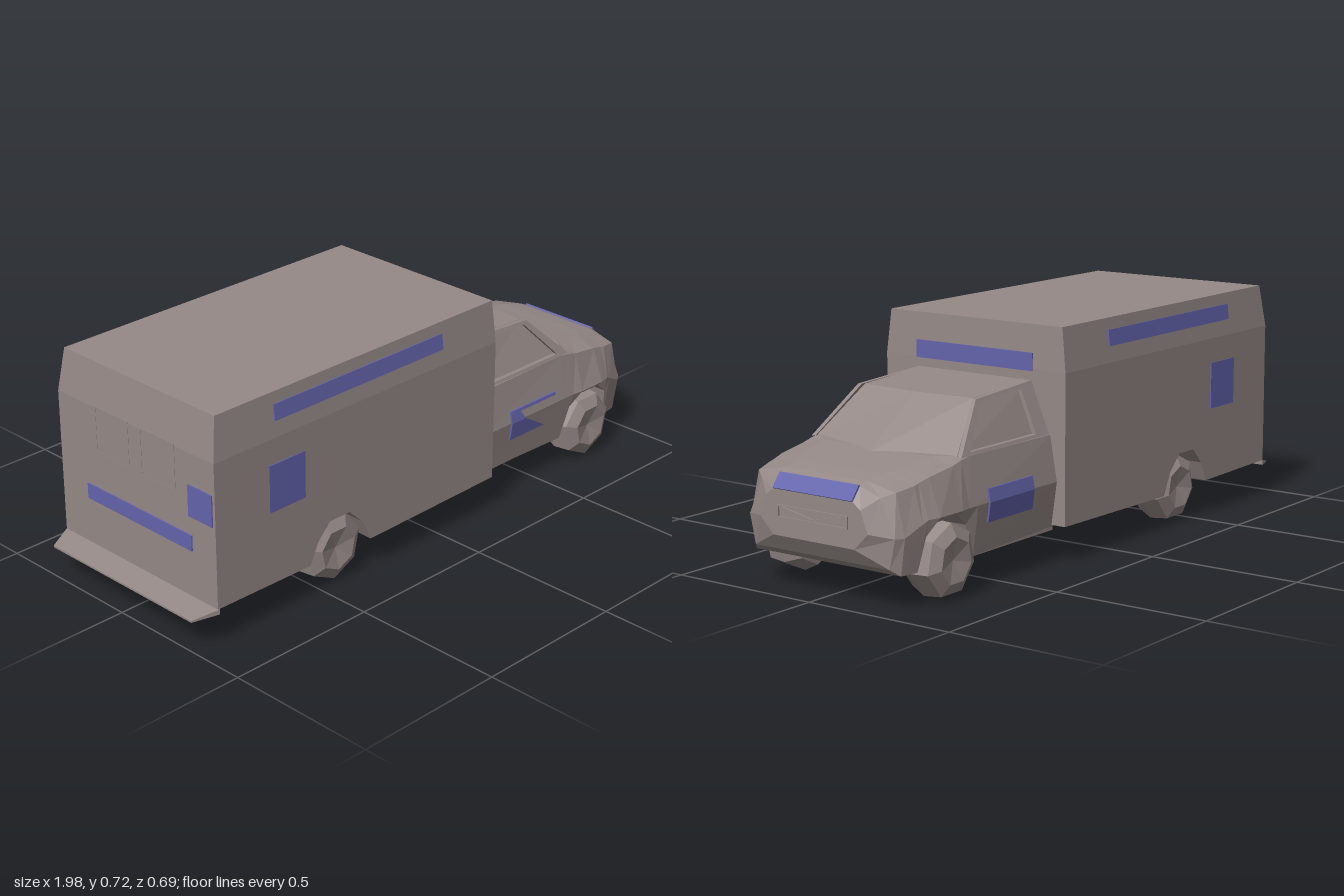
import * as THREE from 'three';

const paint = new THREE.MeshStandardMaterial({ color: 0x958987 });
paint.name = 'warm grey paint';
const blue = new THREE.MeshStandardMaterial({ color: 0x6464ac });
blue.name = 'blue marking';

export function createModel() {
  const model = new THREE.Group();
  model.name = 'boxVan';

  // Adds a mesh with one normal per face
  function add(name, geometry, material = paint) {
    const flat = geometry.index ? geometry.toNonIndexed() : geometry;
    flat.computeVertexNormals();
    const mesh = new THREE.Mesh(flat, material);
    mesh.name = name;
    model.add(mesh);
    return mesh;
  }

  // Moves every vertex by a rule
  function bend(geometry, rule) {
    const p = geometry.attributes.position;
    for (let i = 0; i < p.count; i++) p.setXYZ(i, ...rule(p.getX(i), p.getY(i), p.getZ(i)));
    return geometry;
  }

  const box = (x0, x1, y0, y1, z0, z1) =>
    new THREE.BoxGeometry(x1 - x0, y1 - y0, z1 - z0)
      .translate((x0 + x1) / 2, (y0 + y1) / 2, (z0 + z1) / 2);
  const shapeOf = (pts) => new THREE.Shape(pts.map((p) => new THREE.Vector2(...p)));
  const extrude = (shape, depth) => new THREE.ExtrudeGeometry(shape, { depth, bevelEnabled: false });

  // Rectangular frame, centred at the origin and facing +z
  function frame(w, h, t, depth) {
    const rect = (a, b) => [[-a, -b], [a, -b], [a, b], [-a, b]];
    const s = shapeOf(rect(w / 2, h / 2));
    s.holes.push(shapeOf(rect(w / 2 - t, h / 2 - t)));
    return extrude(s, depth);
  }

  // Lower cargo body with rear wheel arches
  const side = shapeOf([
    [-0.925, 0.12], [-0.56, 0.115], [-0.53, 0.18], [-0.48, 0.232], [-0.4, 0.232],
    [-0.345, 0.18], [-0.31, 0.108], [0.235, 0.115], [0.235, 0.58], [-0.925, 0.58],
  ]);
  add('cargoBody', extrude(side, 0.68).translate(0, 0, -0.34));

  // Upper cargo body, tapering to the roof
  add('cargoRoof', bend(new THREE.BoxGeometry(2, 2, 2), (x, y, z) => y > 0
    ? [x > 0 ? 0.23 : -0.905, 0.716, z * 0.325]
    : [x > 0 ? 0.235 : -0.925, 0.58, z * 0.34]));

  // Cab and bonnet: x, then y and z of sill, waist, shoulder and deck
  const sections = [
    [0.225, 0.11, 0.29, 0.25, 0.31, 0.39, 0.285, 0.392, 0.27],
    [0.62, 0.10, 0.29, 0.25, 0.31, 0.39, 0.28, 0.395, 0.26],
    [0.66, 0.20, 0.295, 0.25, 0.31, 0.385, 0.28, 0.395, 0.25],
    [0.70, 0.235, 0.30, 0.25, 0.315, 0.375, 0.28, 0.393, 0.2],
    [0.80, 0.235, 0.30, 0.25, 0.315, 0.36, 0.275, 0.377, 0.18],
    [0.84, 0.20, 0.295, 0.25, 0.305, 0.35, 0.27, 0.371, 0.17],
    [0.86, 0.10, 0.28, 0.24, 0.30, 0.345, 0.27, 0.368, 0.16],
    [0.92, 0.10, 0.27, 0.21, 0.285, 0.335, 0.255, 0.356, 0.15],
    [0.945, 0.12, 0.25, 0.21, 0.27, 0.32, 0.22, 0.345, 0.147],
    [0.978, 0.17, 0.15, 0.22, 0.2, 0.285, 0.175, 0.305, 0.147],
  ];
  const rings = sections.map(([x, ...q]) => {
    const half = [0, 2, 4, 6].map((i) => [x, q[i], q[i + 1]]);
    return [...half, ...half.slice().reverse().map(([a, y, z]) => [a, y, -z])];
  });
  const tris = [];
  for (let i = 0; i + 1 < rings.length; i++) {
    for (let k = 0; k < 8; k++) {
      const n = (k + 1) % 8;
      const [a, b, c, d] = [rings[i][k], rings[i][n], rings[i + 1][n], rings[i + 1][k]];
      tris.push(a, d, c, a, c, b);
    }
  }
  const nose = rings[rings.length - 1];
  for (let k = 1; k < 7; k++) {
    tris.push(nose[0], nose[k + 1], nose[k]);
    tris.push(rings[0][0], rings[0][k], rings[0][k + 1]);
  }
  const cab = new THREE.BufferGeometry();
  cab.setAttribute('position', new THREE.Float32BufferAttribute(tris.flat(), 3));
  add('cabBody', cab);

  // Windscreen, side glass and cab roof
  add('cabUpper', bend(new THREE.BoxGeometry(2, 2, 2, 1, 1, 2), (x, y, z) => {
    const mid = Math.abs(z) < 0.5;
    if (y > 0) return x > 0 ? [mid ? 0.52 : 0.505, 0.532, z * 0.203] : [0.225, 0.548, z * 0.203];
    return [x > 0 ? (mid ? 0.73 : 0.665) : 0.225, 0.385, z * 0.266];
  }));

  // Door window frames, leaning with the cab sides
  for (const s of [1, -1]) {
    const door = shapeOf([[0.235, 0.39], [0.66, 0.39], [0.515, 0.532], [0.235, 0.547]]);
    door.holes.push(shapeOf([[0.295, 0.4], [0.61, 0.4], [0.5, 0.522], [0.295, 0.53]]));
    add(s > 0 ? 'leftWindowFrame' : 'rightWindowFrame', bend(extrude(door, 0.014), (x, y, z) =>
      [x, y, s * (0.274 - (y - 0.39) * 0.42) + z - 0.007]));
  }

  // Grille surround with its V-shaped slat
  add('grilleFrame', frame(0.26, 0.038, 0.004, 0.006).rotateY(Math.PI / 2).translate(0.977, 0.243, 0));
  add('grilleSlat', extrude(shapeOf([[-0.13, 0.018], [0, -0.016], [0.13, 0.018], [0, -0.008]]), 0.006)
    .rotateY(Math.PI / 2).translate(0.977, 0.243, 0));

  // Rear door windows
  for (const z of [-0.1, 0.1]) {
    add('rearWindowFrame', frame(0.15, 0.15, 0.006, 0.005).rotateY(-Math.PI / 2).translate(-0.921, 0.51, z));
  }

  // Sloping rear step
  add('rearStep', bend(new THREE.BoxGeometry(2, 2, 2), (x, y, z) => x > 0
    ? [-0.92, 0.112 + y * 0.008, z * 0.343]
    : [-1, 0.099 + y * 0.003, z * 0.31]));

  // Floor, chassis rails and cross member
  add('floor', box(-0.9, 0.24, 0.1, 0.13, -0.2, 0.2));
  for (const z of [-0.1, 0.1]) {
    add('chassisRail', bend(new THREE.BoxGeometry(2, 2, 2), (x, y, w) =>
      [x > 0 ? 0.72 : -0.3, (x > 0 ? 0.085 : 0.11) + y * 0.015, z + w * 0.02]));
  }
  add('crossMember', box(0.68, 0.72, 0.06, 0.092, -0.225, 0.225));
  add('cabFloor', box(0.2, 0.62, 0.09, 0.11, -0.27, 0.27));

  // Seven-sided wheels with domed hubs
  const profile = [[0, -0.07], [0.09, -0.07], [0.114, -0.02], [0.108, 0.04], [0.07, 0.06], [0, 0.045]]
    .map((p) => new THREE.Vector2(...p));
  for (const [x, zc, name] of [[-0.43, 0.265, 'rearWheel'], [0.74, 0.265, 'frontWheel']]) {
    for (const s of [1, -1]) {
      const wheel = add(name, new THREE.LatheGeometry(profile, 7).rotateX(s * Math.PI / 2));
      wheel.position.set(x, 0.114, s * zc);
    }
  }

  // Blue markings on both sides
  for (const s of [1, -1]) {
    add('sideStripe', new THREE.BoxGeometry(0.69, 0.05, 0.006)
      .rotateX(-s * 0.11).translate(-0.345, 0.655, s * 0.333), blue);
    add('sidePanel', new THREE.BoxGeometry(0.14, 0.15, 0.006).translate(-0.65, 0.425, s * 0.34), blue);
  }
  const lean = (s) => (x, y, z) =>
    [x, y, s * (0.313 - Math.abs(y - 0.25) * (y > 0.25 ? 0.18 : 0.143)) + z - 0.003];
  add('leftDoorPanel', bend(extrude(shapeOf([
    [0.355, 0.19], [0.52, 0.19], [0.42, 0.25], [0.4, 0.28], [0.57, 0.28], [0.57, 0.29], [0.355, 0.29], [0.355, 0.25],
  ]), 0.006), lean(1)), blue);
  add('rightDoorPanel', bend(new THREE.BoxGeometry(0.215, 0.1, 0.006, 1, 5, 1)
    .translate(0.4625, 0.24, 0.003), lean(-1)), blue);

  // Blue markings on front and rear
  add('frontStripe', box(0.231, 0.238, 0.575, 0.63, -0.22, 0.22), blue);
  add('bonnetStripe', bend(new THREE.BoxGeometry(2, 2, 2), (x, y, z) =>
    [(y > 0 ? 0.947 : 0.979) + x * 0.003, (y > 0 ? 0.347 : 0.306) + x * 0.002, z * 0.147]), blue);
  add('rearStripe', box(-0.929, -0.923, 0.27, 0.32, -0.22, 0.24), blue);
  add('rearPanel', box(-0.929, -0.923, 0.38, 0.48, 0.23, 0.33), blue);

  return model;
}
